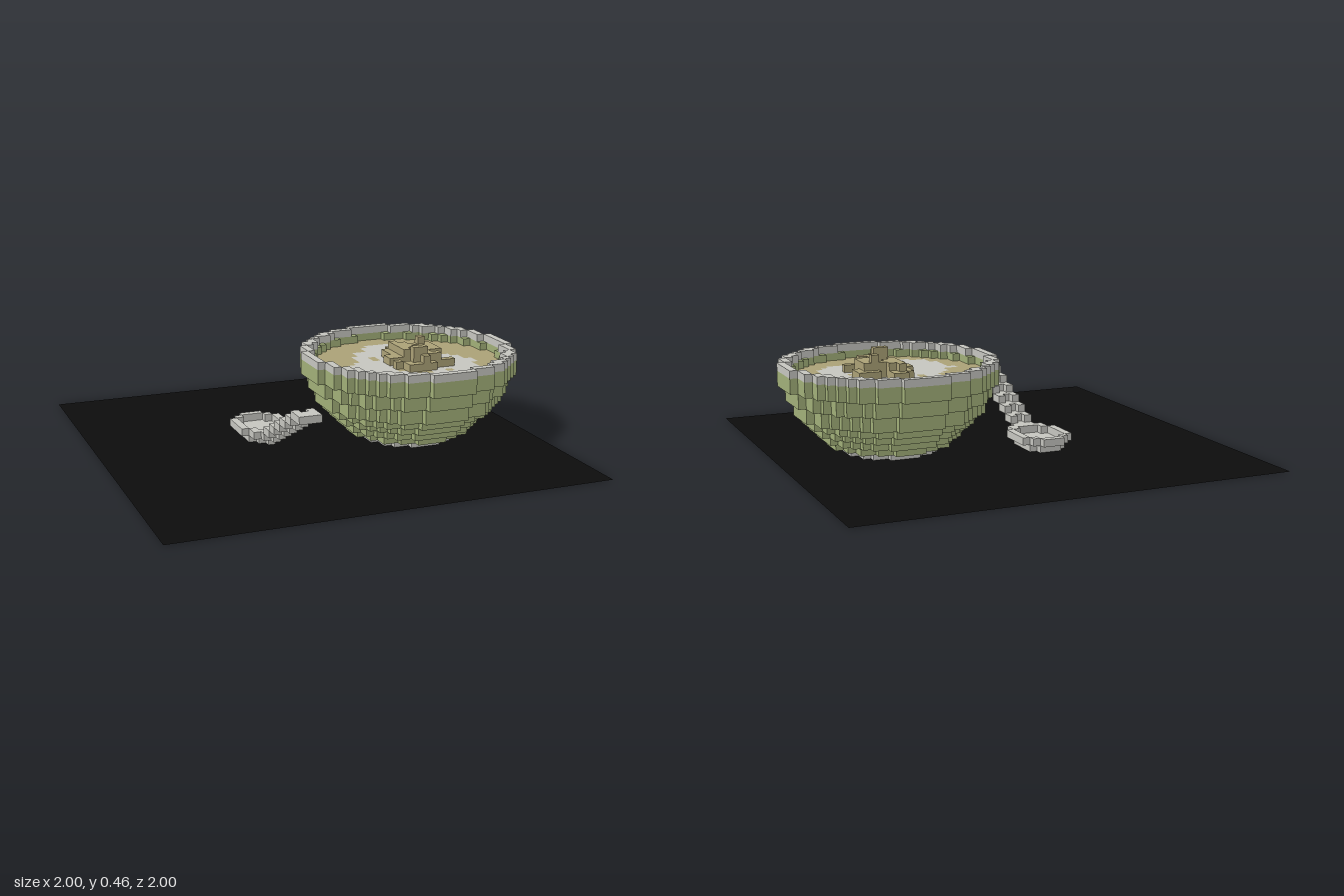
import * as THREE from 'three';

const S = 0.0353;                       // block size
const CX = 0.448, CZ = 0.08;            // bowl centre

const mat = (name, color) => {
  const m = new THREE.MeshStandardMaterial({ color });
  m.name = name;
  return m;
};

export function createModel() {
  const group = new THREE.Group();
  const white = mat('white glaze', 0xc6c6c0);
  const green = mat('green glaze', 0xa2b079);
  const tan = mat('tan soup', 0xaca277);
  const black = mat('black table', 0x0d0d0d);
  white.side = green.side = tan.side = THREE.FrontSide;
  black.side = THREE.DoubleSide;

  // block grid: every cell belongs to a named part
  const cells = new Map();
  const key = (x, y, z) => x + ',' + y + ',' + z;
  const put = (part, x, y, z) => cells.set(key(x, y, z), { part, x, y, z });
  const disc = (r, fn) => {
    for (let x = -r; x < r; x++) for (let z = -r; z < r; z++) {
      const d = Math.hypot(x + 0.5, z + 0.5);
      if (d < r - 0.1) fn(x, z, d);
    }
  };

  // cream swirl: first and last column for each row from z = -10
  const swirl = [[-2, 1], [-3, 2], [-3, 2], [-5, 3], [-5, 3], [-6, 3], [-6, 3],
    [-6, 5], [-7, 6], [-8, 7], [-8, 7], [-10, 8], [-9, 8], [-9, 7], [-9, 7],
    [-9, 7], [-8, 6], [-8, 5], [-6, 1], [-2, -1]];
  const gaps = new Set(['-4,-4', '-4,-3', '2,-5', '0,5', '-1,5', '-3,3', '4,1', '3,5']);
  const isCream = (x, z) => {
    const row = swirl[z + 10];
    return row && x >= row[0] && x <= row[1] && !gaps.has(x + ',' + z);
  };

  // bowl: foot, stepped body, soup surface, rim
  [6, 8, 9, 10, 11, 12, 12, 13, 13, 14, 14, 14].forEach((r, y) => disc(r, (x, z, d) => {
    if (y === 0) put(d > 4.9 ? 'bowlFoot' : 'bowlBase', x, y, z);
    else if (y < 9) put('bowlBody', x, y, z);
    else if (y === 9) put(d > 12.6 ? 'bowlBody' : isCream(x, z) ? 'cream' : 'soup', x, y, z);
    else if (y === 10) { if (d > 12.6) put('bowlBody', x, y, z); }
    else if (d > 12.9) put('bowlRim', x, y, z);
  }));

  // topping: digits give the stack height, columns from x = -3, rows from z = -5
  ['00110000', '01210000', '01220111', '01222321', '11220221',
    '11200220', '00001220', '10002100', '01332211', '01121000']
    .forEach((row, j) => [...row].forEach((h, i) => {
      for (let y = 0; y < +h; y++) put('topping', i - 3, 10 + y, j - 5);
    }));

  // spoon head: half-widths along its length, a hollow with a raised edge
  const sx = -19, sz = -11;
  const head = [1, 2, 3, 3, 3, 3, 3, 2, 2];
  const hollow = [-1, 1, 2, 2, 2, 2, 2, 1, 0];
  head.forEach((w, k) => {
    for (let i = -w; i <= w; i++) {
      const low = Math.abs(i) <= hollow[k];
      put('spoonHead', sx + i, low && k < 8 ? 0 : 1, sz + k);
      if (low && k === 8) put('spoonHead', sx + i, 0, sz + k);
    }
  });

  // spoon handle: rising steps, middle lagging behind the sides
  for (let k = 0; k < 14; k++) for (let i = -1; i <= 1; i++) {
    const y = Math.min(7, 1 + Math.floor((i ? k + 1 : k) / 2));
    put('spoonHandle', sx + i, y, sz + 9 + k);
  }

  // one mesh per part, made of the exposed block faces
  const dirs = [[1, 0, 0], [-1, 0, 0], [0, 1, 0], [0, -1, 0], [0, 0, 1], [0, 0, -1]];
  const buffers = {};
  for (const { part, x, y, z } of cells.values()) {
    const b = buffers[part] ??= { pos: [], nor: [] };
    for (const n of dirs) {
      if (cells.has(key(x + n[0], y + n[1], z + n[2]))) continue;
      const u = [n[1], n[2], n[0]];
      const v = [n[1] * u[2] - n[2] * u[1], n[2] * u[0] - n[0] * u[2], n[0] * u[1] - n[1] * u[0]];
      for (const [a, c] of [[-1, -1], [1, -1], [1, 1], [-1, -1], [1, 1], [-1, 1]]) {
        const p = [x, y, z].map((q, i) => (q + 0.5 + (n[i] + a * u[i] + c * v[i]) / 2) * S);
        b.pos.push(p[0] + CX, p[1], p[2] + CZ);
        b.nor.push(...n);
      }
    }
  }
  const materials = {
    bowlFoot: white, bowlBase: green, bowlBody: green, bowlRim: white, soup: tan,
    cream: white, topping: tan, spoonHead: white, spoonHandle: white,
  };
  for (const [part, b] of Object.entries(buffers)) {
    const g = new THREE.BufferGeometry();
    g.setAttribute('position', new THREE.Float32BufferAttribute(b.pos, 3));
    g.setAttribute('normal', new THREE.Float32BufferAttribute(b.nor, 3));
    const mesh = new THREE.Mesh(g, materials[part]);
    mesh.name = part;
    group.add(mesh);
  }

  // table top sheet, just above the undersides of bowl and spoon
  const table = new THREE.Mesh(new THREE.PlaneGeometry(2, 2).rotateX(-Math.PI / 2), black);
  table.position.y = 0.002;
  table.name = 'tableTop';
  group.add(table);
  return group;
}
